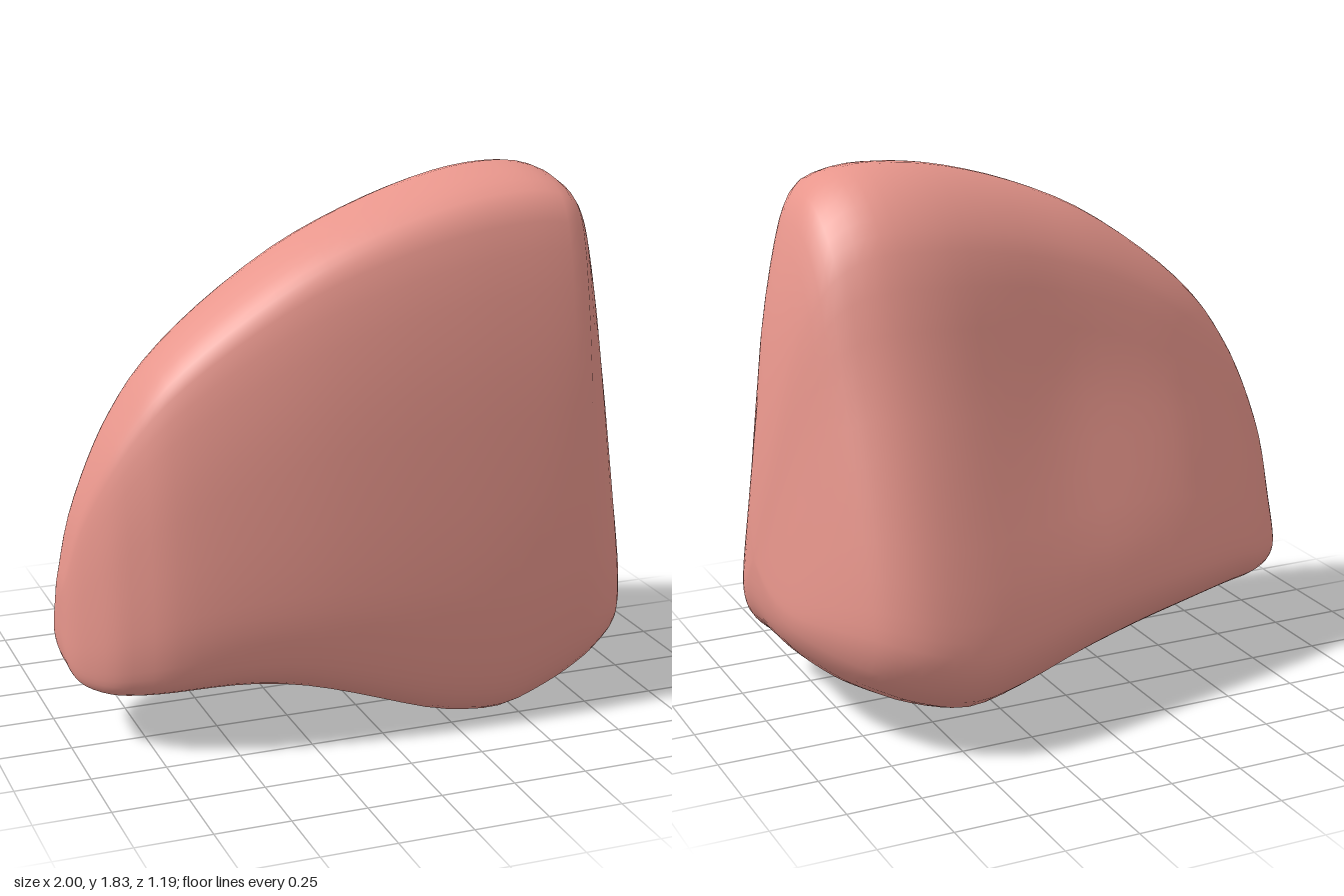
import * as THREE from 'three';
import { mergeVertices } from 'three/addons/utils/BufferGeometryUtils.js';

// Extents of the body along its length: x, top y, bottom y, front z, back z
const stations = [
  [-1.0, 0.42, 0.42, 0.12, 0.12],
  [-0.998, 0.52, 0.32, 0.19, 0.05],
  [-0.985, 0.61, 0.25, 0.24, 0.015],
  [-0.95, 0.78, 0.21, 0.3, -0.03],
  [-0.88, 0.97, 0.195, 0.385, -0.105],
  [-0.8, 1.12, 0.19, 0.44, -0.175],
  [-0.69, 1.27, 0.187, 0.495, -0.24],
  [-0.5, 1.435, 0.17, 0.54, -0.325],
  [-0.25, 1.6, 0.13, 0.575, -0.4],
  [0.0, 1.71, 0.08, 0.59, -0.47],
  [0.25, 1.785, 0.023, 0.592, -0.547],
  [0.45, 1.817, 0.001, 0.585, -0.594],
  [0.62, 1.813, 0.05, 0.57, -0.59],
  [0.74, 1.76, 0.105, 0.55, -0.54],
  [0.82, 1.65, 0.15, 0.52, -0.46],
  [0.9, 1.37, 0.218, 0.47, -0.33],
  [0.96, 1.0, 0.305, 0.34, -0.19],
  [0.99, 0.72, 0.41, 0.22, -0.05],
  [1.0, 0.55, 0.55, 0.07, 0.07],
];

// Unit cross-section (back-to-front, bottom-to-top): steep front, sloping back
const section = [
  [0.57, 1], [0.68, 1], [0.827, 0.97], [0.885, 0.92], [0.95, 0.73], [0.985, 0.5],
  [1, 0.27], [0.99, 0.15], [0.955, 0.05], [0.88, 0], [0.68, 0.01], [0.3, 0.027],
  [0.07, 0.09], [0, 0.165], [0.01, 0.25], [0.1, 0.45], [0.22, 0.67], [0.33, 0.875], [0.44, 0.96],
];

function curve(points, closed, type) {
  return new THREE.CatmullRomCurve3(points.map((p) => new THREE.Vector3(...p)), closed, type);
}

// Smooth bump: 1 at the centre, 0 beyond the half width
function bump(v, centre, halfWidth) {
  return 1 - THREE.MathUtils.smoothstep(Math.abs(v - centre), 0, halfWidth);
}

// Loft the section through the stations
function bodyGeometry(rings, sides) {
  const { lerp, clamp, smoothstep } = THREE.MathUtils;
  const heights = curve(stations.map(([x, t, b]) => [x, t, b]), false, 'catmullrom');
  const depths = curve(stations.map(([x, , , f, k]) => [x, f, k]), false, 'catmullrom');
  const outline = curve(section.map(([a, b]) => [a, b, 0]), true, 'centripetal').getPoints(sides);
  const positions = [];
  const index = [];
  for (let i = 0; i <= rings; i++) {
    const h = heights.getPoint(i / rings);
    const d = depths.getPoint(i / rings);
    const x = clamp(h.x, -1, 1);
    const lift = 0.065 * bump(x, -0.32, 0.6); // raised lower front edge
    const bevel = clamp((x - 0.72) * 1.7, 0, 0.38); // broad end turned away from the front
    const dent = 0.04 * bump(x, 0, 0.6); // shallow hollow in the back
    for (let j = 0; j < sides; j++) {
      const { x: a, y: b } = outline[j];
      const y = lerp(h.z, h.y, b) + lift * smoothstep(a, 0.45, 1) * Math.max(0, 1 - b) ** 4;
      const depth = a * (1 - bevel * a * b) + dent * (1 - a) * bump(b, 0.58, 0.38);
      positions.push(x, y, lerp(d.z, d.y, depth));
      if (i === rings) continue;
      const p = i * sides + j;
      const q = i * sides + ((j + 1) % sides);
      index.push(p, q, p + sides, q, q + sides, p + sides);
    }
  }
  const geometry = new THREE.BufferGeometry();
  geometry.setAttribute('position', new THREE.Float32BufferAttribute(positions, 3));
  geometry.setIndex(index);
  const merged = mergeVertices(geometry, 1e-5); // joins the collapsed end rings
  merged.computeVertexNormals();
  return merged;
}

export function createModel() {
  const group = new THREE.Group();
  group.name = 'organ';
  const material = new THREE.MeshStandardMaterial({ color: 0xe8968c });
  const body = new THREE.Mesh(bodyGeometry(54, 57), material);
  body.name = 'lobe';
  group.add(body);
  return group;
}
